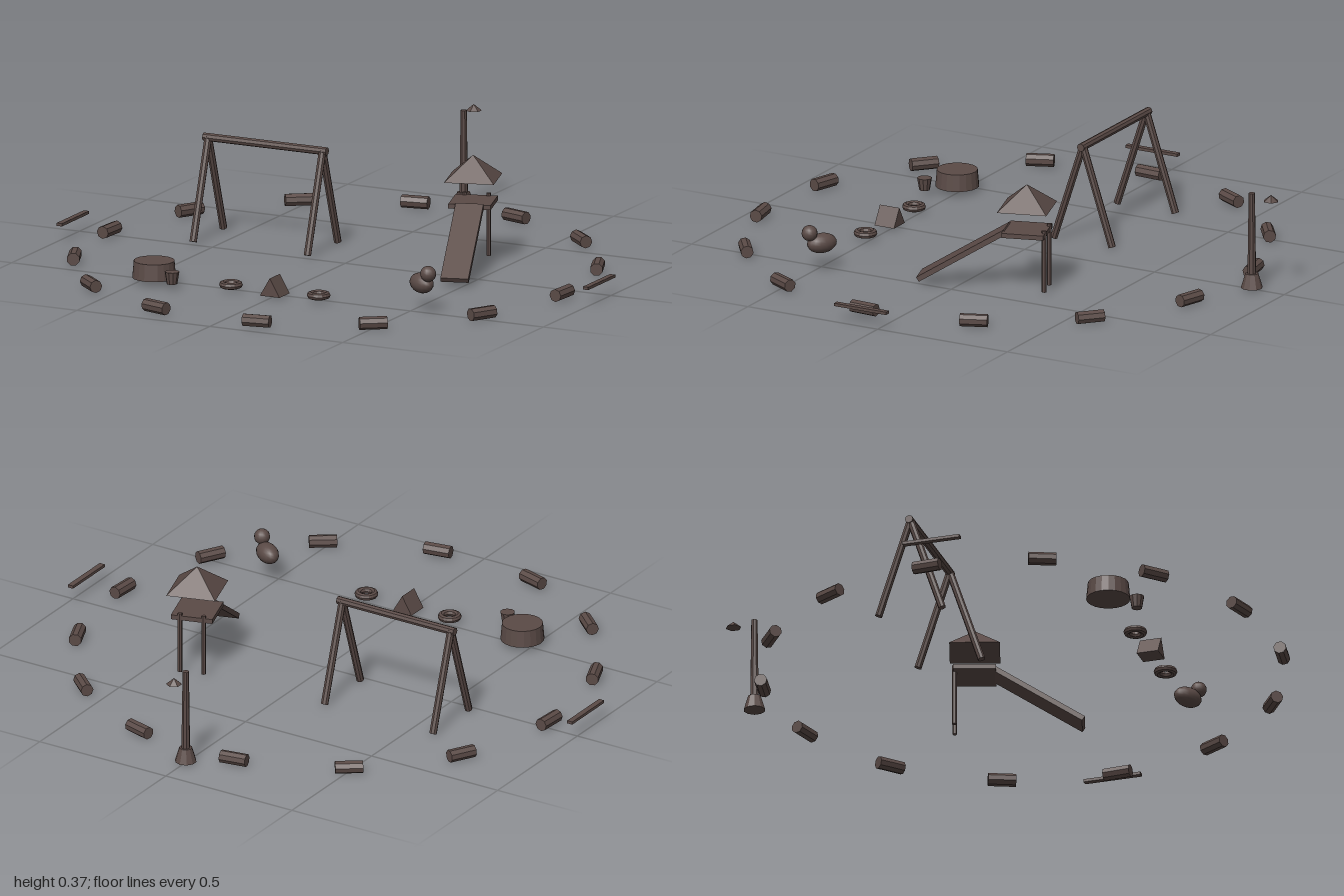
import * as THREE from 'three';

const material = new THREE.MeshStandardMaterial({ color: 0x5a4a46, flatShading: true });
const smooth = new THREE.MeshStandardMaterial({ color: 0x5a4a46 });

function add(parent, name, geometry, x, y, z, mat = material) {
  const mesh = new THREE.Mesh(geometry, mat);
  mesh.name = name;
  mesh.position.set(x, y, z);
  parent.add(mesh);
  return mesh;
}

// Round beam running from point a to point b
function beam(parent, name, a, b, radius, sides = 8) {
  const from = new THREE.Vector3(...a), to = new THREE.Vector3(...b);
  const dir = to.clone().sub(from);
  const mid = from.clone().add(to).multiplyScalar(0.5);
  const mesh = add(parent, name, new THREE.CylinderGeometry(radius, radius, dir.length(), sides), mid.x, mid.y, mid.z);
  mesh.quaternion.setFromUnitVectors(new THREE.Vector3(0, 1, 0), dir.normalize());
  return mesh;
}

function group(parent, name, x = 0, y = 0, z = 0) {
  const g = new THREE.Group();
  g.name = name;
  g.position.set(x, y, z);
  parent.add(g);
  return g;
}

export function createModel() {
  const model = new THREE.Group();
  model.name = 'playground';

  // Ring of border logs laid along the tangent
  const ring = group(model, 'logRing', 0, 0, 0.068);
  for (let i = 0; i < 14; i++) {
    const t = 0.06 + (i / 14) * Math.PI * 2;
    const c = Math.cos(t), s = Math.sin(t), h = 0.047;
    beam(ring, 'borderLog', [0.88 * c + s * h, 0.024, 0.88 * s - c * h],
      [0.88 * c - s * h, 0.024, 0.88 * s + c * h], 0.022);
  }

  // Bench planks outside the ring
  for (const side of [-1, 1])
    add(model, 'benchPlank', new THREE.BoxGeometry(0.02, 0.01, 0.2), side * 0.99, 0.062, 0.068);

  // Swing frame
  const swing = group(model, 'swingFrame', -0.37, 0, -0.137);
  beam(swing, 'topBar', [-0.232, 0.343, 0], [0.232, 0.343, 0], 0.014);
  for (const x of [-0.215, 0.215])
    for (const z of [-0.112, 0.112])
      beam(swing, 'swingLeg', [x, 0.345, 0], [x, 0.006, z], 0.013);

  // Slide tower
  const tower = group(model, 'slideTower', 0.37, 0, -0.218);
  tower.rotation.y = 0.3;
  const roof = add(tower, 'roof', new THREE.ConeGeometry(0.12, 0.08, 4), 0, 0.33, 0);
  roof.rotation.y = Math.PI / 4;
  add(tower, 'platform', new THREE.BoxGeometry(0.144, 0.016, 0.144), 0, 0.207, 0);
  for (const x of [-0.041, 0.041])
    beam(tower, 'towerPost', [x, 0.008, -0.068], [x, 0.224, -0.068], 0.008, 6);
  const run = 0.3, drop = 0.187;
  const slide = add(tower, 'slide', new THREE.BoxGeometry(0.095, 0.018, Math.hypot(run, drop)), 0, 0.118, 0.215);
  slide.rotation.x = Math.atan2(drop, run);

  // Lamp post with its offset shade
  const lamp = group(model, 'lampPost', 0, 0, -0.875);
  add(lamp, 'lampBase', new THREE.CylinderGeometry(0.022, 0.037, 0.05, 10), 0, 0.033, 0);
  add(lamp, 'lampPole', new THREE.CylinderGeometry(0.011, 0.015, 0.29, 8), 0, 0.195, 0);
  add(lamp, 'lampShade', new THREE.ConeGeometry(0.027, 0.022, 6), 0, 0.334, -0.074);

  // Drum and small bucket
  add(model, 'drum', new THREE.CylinderGeometry(0.069, 0.074, 0.058, 20), -0.455, 0.046, 0.518);
  add(model, 'bucket', new THREE.CylinderGeometry(0.025, 0.018, 0.042, 10), -0.353, 0.041, 0.586);

  // Rings lying either side of a small tent
  for (const side of [-1, 1]) {
    const tyre = add(model, 'tyre', new THREE.TorusGeometry(0.028, 0.012, 8, 16), side * 0.165, 0.024, 0.52);
    tyre.rotation.x = Math.PI / 2;
  }
  const tri = new THREE.Shape([[-0.037, 0], [0.037, 0], [0, 0.063]].map(p => new THREE.Vector2(...p)));
  add(model, 'tent', new THREE.ExtrudeGeometry(tri, { depth: 0.075, bevelEnabled: false }), 0, 0.008, 0.483);

  // Rider with an egg-shaped body and round head
  const body = add(model, 'riderBody', new THREE.SphereGeometry(1, 16, 12), 0.532, 0.098, 0.48, smooth);
  body.scale.set(0.054, 0.034, 0.034);
  body.rotation.y = -0.55;
  add(model, 'riderHead', new THREE.SphereGeometry(0.027, 14, 10), 0.57, 0.139, 0.506, smooth);

  return model;
}
